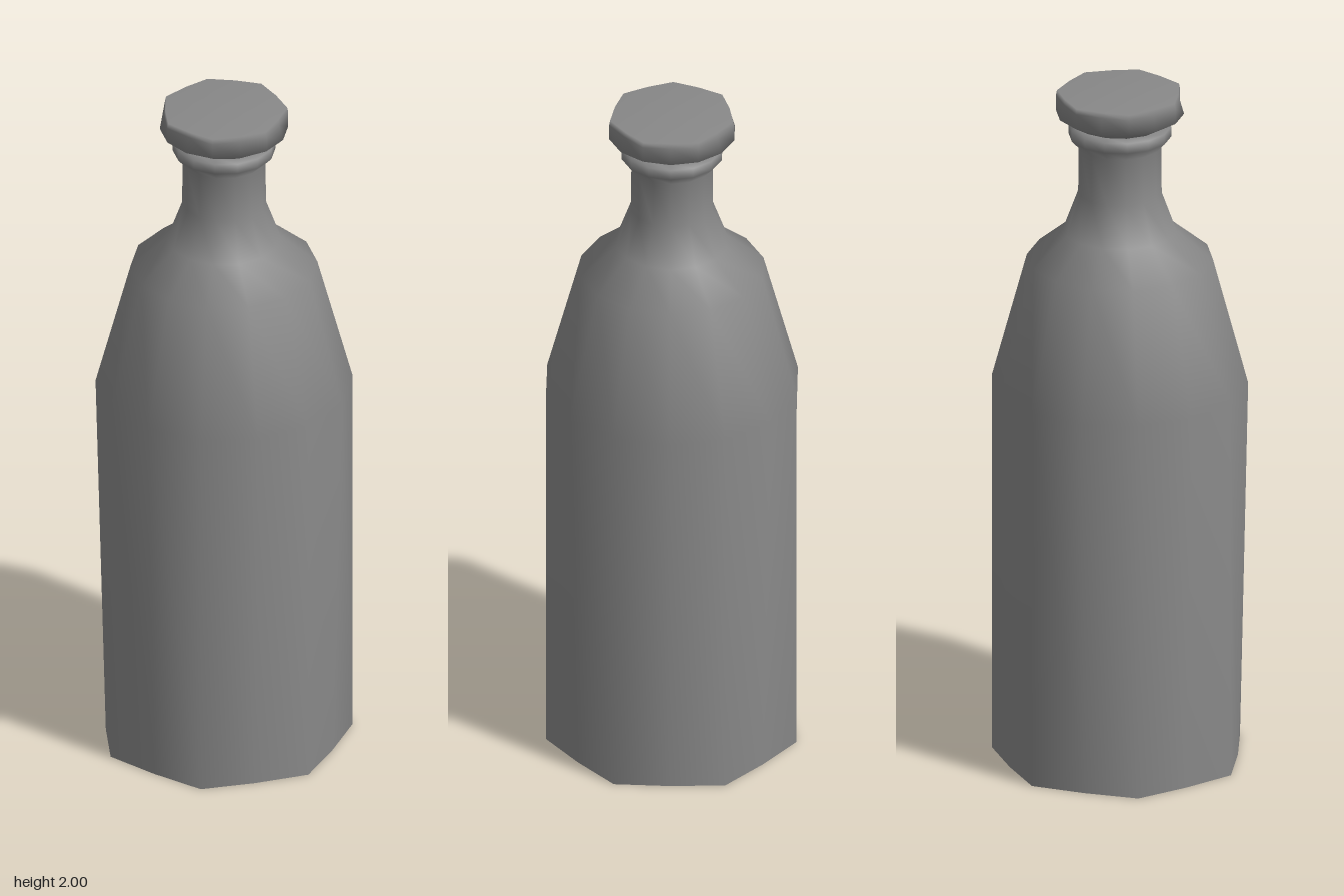
import * as THREE from 'three';

const SIDES = 14;
const material = new THREE.MeshStandardMaterial({ color: 0x888888 });

// Revolves [radius, height] pairs; shrink(y) pulls every other corner towards its chord.
function turned(name, profile, shrink) {
  const points = profile.map(([r, y]) => new THREE.Vector2(r, y));
  const geometry = new THREE.LatheGeometry(points, SIDES, Math.PI / 2);
  const pos = geometry.attributes.position;
  for (let i = 0; i < pos.count; i++) {
    const side = Math.floor(i / points.length);
    if (side % 2 === 0) {
      const s = shrink(pos.getY(i));
      pos.setX(i, pos.getX(i) * s);
      pos.setZ(i, pos.getZ(i) * s);
    }
  }
  const mesh = new THREE.Mesh(geometry, material);
  mesh.name = name;
  return mesh;
}

export function createModel() {
  const group = new THREE.Group();
  group.name = 'bottle';

  // The body goes from nearly seven corners at the base to fourteen at the shoulder
  const bodyShrink = (y) => THREE.MathUtils.lerp(0.92, 1, Math.min(y / 1.13, 1));
  const stopperShrink = (y) => (y > 1.95 ? 0.93 : 1);

  // Body, sloping shoulders, flared neck and lip
  group.add(turned('body', [
    [0.354, 0], [0.362, 0], [0.362, 1.13], [0.263, 1.5], [0.16, 1.585],
    [0.118, 1.7], [0.117, 1.84], [0.145, 1.87], [0.145, 1.9], [0.12, 1.905], [0, 1.905],
  ], bodyShrink));

  // Inner face of the foot and the raised floor above it
  group.add(turned('footInside', [[0.351, 0.11], [0.354, 0]], bodyShrink));
  group.add(turned('floor', [[0, 0.1], [0.35, 0.1], [0.35, 0.2]], bodyShrink));

  // Wide stopper on the lip
  group.add(turned('stopper', [
    [0, 1.91], [0.13, 1.91], [0.181, 1.94], [0.181, 1.985], [0.178, 2], [0, 2],
  ], stopperShrink));

  return group;
}
